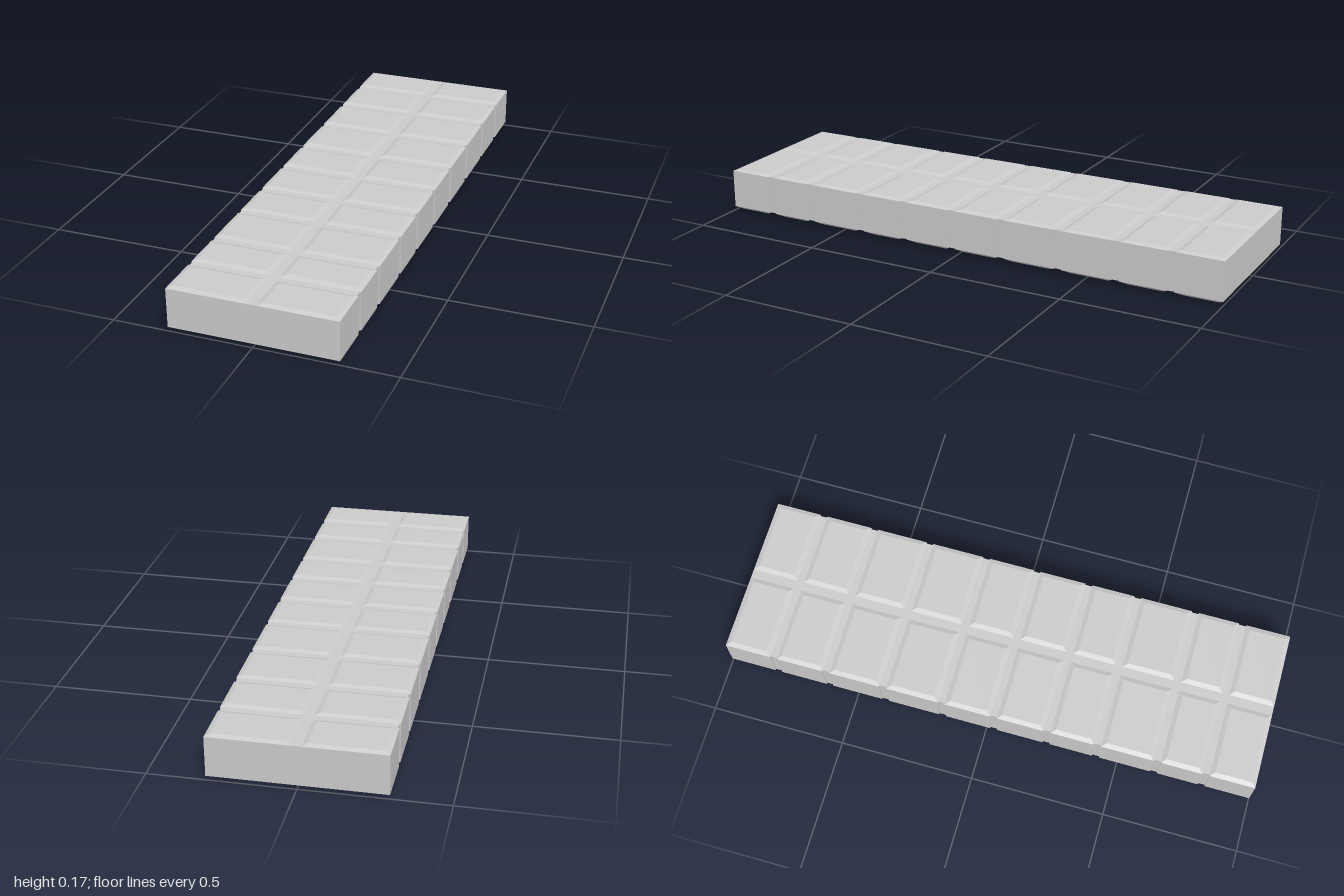
import * as THREE from 'three';

const HALF_W = 0.3, GROOVE = 0.017, GAP = 0.013;
const Y = [0, 0.015, 0.159, 0.165];        // heights of the block's four rings
const INSET = [0.024, 0, 0, 0.017];        // how far each ring is drawn in
// z centres of the grooves between rows
const SPLITS = [-0.815, -0.612, -0.393, -0.17, 0.028, 0.23, 0.419, 0.64, 0.82];

// Block with bevelled top and bottom: a box whose rings are moved and drawn in
function blockGeometry(x0, x1, z0, z1) {
  const g = new THREE.BoxGeometry(2, 3, 2, 1, 3, 1);
  const p = g.attributes.position;
  for (let i = 0; i < p.count; i++) {
    const ring = Math.round(p.getY(i) + 1.5), d = INSET[ring];
    p.setXYZ(i,
      p.getX(i) < 0 ? x0 + d : x1 - d,
      Y[ring],
      p.getZ(i) < 0 ? z0 + d : z1 - d);
  }
  g.computeVertexNormals();
  return g;
}

export function createModel() {
  const group = new THREE.Group();
  const mat = new THREE.MeshStandardMaterial({ color: 0xcccccc, flatShading: true });
  const add = (name, geo, y = 0, z = 0) => {
    const m = new THREE.Mesh(geo, mat);
    m.name = name;
    m.position.set(0, y, z);
    group.add(m);
  };
  const floorH = Y[2] - Y[1], midY = (Y[1] + Y[2]) / 2;

  // Two columns of blocks
  const edges = [-1 - GAP, ...SPLITS, 1 + GAP];
  for (let r = 0; r < edges.length - 1; r++) {
    const z0 = edges[r] + GAP, z1 = edges[r + 1] - GAP;
    add('leftBlock', blockGeometry(GROOVE, HALF_W, z0, z1));
    add('rightBlock', blockGeometry(-HALF_W, -GROOVE, z0, z1));
  }

  // Groove floors: one lengthwise, one between each pair of rows
  add('lengthGroove', new THREE.BoxGeometry(GROOVE * 2, floorH, 2), midY);
  for (const z of SPLITS)
    add('crossGroove', new THREE.BoxGeometry((HALF_W - 0.005) * 2, floorH, GAP * 2), midY, z);

  return group;
}
